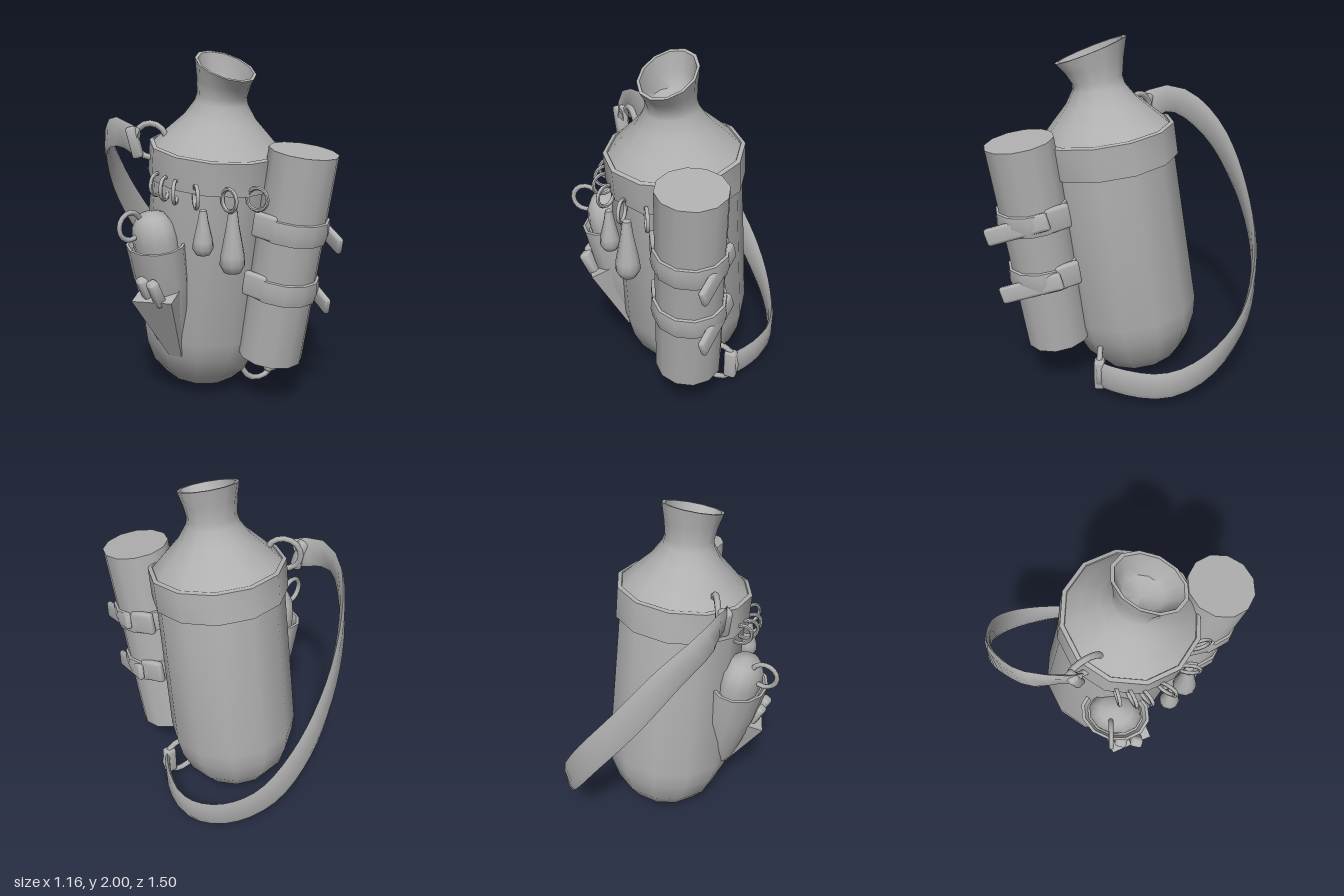
import * as THREE from 'three';
import { toCreasedNormals } from 'three/addons/utils/BufferGeometryUtils.js';
import { RoundedBoxGeometry } from 'three/addons/geometries/RoundedBoxGeometry.js';

const V = (x, y, z) => new THREE.Vector3(x, y, z);
const UP = V(0, 1, 0);

export function createModel() {
  const model = new THREE.Group();
  model.name = 'canteenPack';
  const grey = new THREE.MeshStandardMaterial({ color: 0xb0b0b0 });
  grey.name = 'plain grey';

  const add = (name, geo, parent = model, crease = 0.9) => {
    geo.deleteAttribute('uv');
    const mesh = new THREE.Mesh(toCreasedNormals(geo, crease), grey);
    mesh.name = name;
    parent.add(mesh);
    return mesh;
  };
  const group = name => {
    const g = new THREE.Group();
    g.name = name;
    model.add(g);
    return g;
  };
  const lathe = (pts, sides = 12) =>
    new THREE.LatheGeometry(pts.map(p => new THREE.Vector2(p[0], p[1])), sides);
  const softBox = (w, h, d) => new RoundedBoxGeometry(w, h, d, 2, 0.018);
  // Stand an object between two points, its y axis running from a to b
  const along = (obj, a, b) => {
    obj.position.copy(a).lerp(b, 0.5);
    obj.quaternion.setFromUnitVectors(UP, b.clone().sub(a).normalize());
    return obj;
  };
  const ring = (name, radius, tube, pos, turn) => {
    const r = add(name, new THREE.TorusGeometry(radius, tube, 6, 16), model, 1.3);
    r.position.copy(pos);
    r.rotation.y = turn;
  };

  // Main bottle, leaning forward, its facets turned slightly
  const bottle = group('bottle');
  bottle.position.set(0.058, 0.04, -0.077);
  bottle.rotation.x = 0.1396;
  const turned = pts => lathe(pts).rotateY(-0.08);
  add('bottleBody', turned([[0, 0], [0.14, 0.005], [0.23, 0.045], [0.31, 0.14], [0.362, 0.27],
    [0.382, 0.38], [0.368, 1.3]]), bottle);
  add('rimBand', turned([[0.355, 1.275], [0.388, 1.275], [0.388, 1.455], [0.365, 1.462], [0.355, 1.44]]), bottle);

  // Shoulder and neck, flaring into an oval slanted mouth with a shallow bowl
  const neck = turned([[0.366, 1.45], [0.29, 1.53], [0.2, 1.62], [0.148, 1.7], [0.137, 1.74],
    [0.143, 1.82], [0.155, 1.905], [0.14, 1.905], [0.125, 1.83], [0.1, 1.76], [0, 1.73]]);
  const p = neck.attributes.position;
  for (let i = 0; i < p.count; i++) {
    const f = Math.max(0, (p.getY(i) - 1.72) / 0.185);
    const z = p.getZ(i) * (1 + 0.33 * f) + 0.015 * f;
    p.setZ(i, z);
    p.setY(i, p.getY(i) - 0.24 * z * f);
  }
  add('shoulderAndNeck', neck, bottle);

  // Canister lashed to the front
  const low = V(0.26, 0.29, 0.39), high = V(0.335, 1.485, 0.56);
  const canister = along(group('canister'), low, high);
  add('canisterTube', new THREE.CylinderGeometry(0.19, 0.187, low.distanceTo(high), 12), canister);

  // Two lashing straps, each with side loops and a loose tail
  for (const [y, tail] of [[1.07, V(0.465, 0.98, 0.735)], [0.73, V(0.445, 0.625, 0.675)]]) {
    const c = low.clone().lerp(high, (y - low.y) / (high.y - low.y));
    const band = add('lashingBand', lathe([[0.18, -0.065], [0.203, -0.06], [0.213, 0], [0.203, 0.06],
      [0.18, 0.065]]), canister);
    band.position.y = (y - 0.8875) * 1.013;
    const out = V(c.x - 0.06, 0, c.z + 0.08 - (y - 0.04) * 0.14).normalize();
    for (const s of [-1, 1]) {
      const loop = add('lashingLoop', softBox(0.045, 0.14, 0.14));
      loop.position.copy(c).addScaledVector(V(out.z, 0, -out.x), s * 0.18).addScaledVector(out, -0.07);
      loop.position.y += 0.02;
      loop.quaternion.copy(canister.quaternion);
      loop.rotateY(Math.atan2(out.x, out.z));
    }
    along(add('strapTail', softBox(0.036, 0.37, 0.1)), V(tail.x + 0.035, tail.y + 0.12, tail.z - 0.34), tail);
  }

  // Carrying strap: softly padded ribbon swept round the back
  const path = new THREE.CatmullRomCurve3([
    V(-0.35, 1.5, -0.06), V(-0.41, 1.55, -0.2), V(-0.42, 1.52, -0.32), V(-0.33, 1.37, -0.5),
    V(-0.17, 1.1, -0.65), V(0.06, 0.77, -0.735), V(0.27, 0.47, -0.69), V(0.43, 0.28, -0.54),
    V(0.53, 0.18, -0.36), V(0.56, 0.145, -0.2), V(0.52, 0.14, 0), V(0.45, 0.14, 0.14)]);
  const section = [[-1, 0], [-0.6, -1], [0.6, -1], [1, 0], [0.6, 1], [-0.6, 1]];
  const N = 32, S = section.length, pos = [], idx = [];
  for (let i = 0; i <= N; i++) {
    const c = path.getPointAt(i / N), t = path.getTangentAt(i / N);
    const out = V(c.x - 0.07, 0, c.z + 0.12);
    const n = out.addScaledVector(t, -out.dot(t)).normalize();
    const w = n.clone().cross(t).normalize();
    for (const [a, b] of section)
      pos.push(...c.clone().addScaledVector(w, a * 0.083).addScaledVector(n, b * 0.014).toArray());
    if (i < N) for (let k = 0; k < S; k++) {
      const a = i * S + k, b = i * S + (k + 1) % S;
      idx.push(a, b, b + S, a, b + S, a + S);
    }
  }
  for (let k = 1; k < S - 1; k++) idx.push(0, k + 1, k, N * S, N * S + k, N * S + k + 1);
  const ribbon = new THREE.BufferGeometry();
  ribbon.setAttribute('position', new THREE.Float32BufferAttribute(pos, 3));
  ribbon.setIndex(idx);
  add('carryingStrap', ribbon);

  // Strap rings and the folded strap ends around them
  ring('lowerStrapRing', 0.12, 0.018, V(0.35, 0.14, 0.14), 0);
  add('lowerStrapFold', softBox(0.075, 0.185, 0.06)).position.set(0.435, 0.14, 0.14);
  ring('upperStrapRing', 0.095, 0.018, V(-0.28, 1.51, -0.04), -0.8);
  const fold = add('upperStrapFold', softBox(0.06, 0.18, 0.07));
  fold.position.set(-0.36, 1.5, -0.08);
  fold.rotation.set(0, -0.6, 0.25);

  // Oval flask in a tapered holder on the right side
  const flask = along(group('sideFlask'), V(-0.23, 0.38, 0.1), V(-0.34, 0.97, 0.135));
  flask.scale.z = 1.25;
  add('flaskHolder', lathe([[0, -0.3], [0.09, -0.28], [0.125, -0.1], [0.15, 0.1], [0.16, 0.3],
    [0.145, 0.3], [0.13, 0.27], [0, 0.27]]), flask);
  add('flaskTop', lathe([[0.12, 0.25], [0.122, 0.33], [0.11, 0.4], [0.075, 0.46], [0, 0.485]]), flask);
  ring('flaskRing', 0.075, 0.015, V(-0.495, 1.08, 0.145), 0.25);

  // Tapered sheath with two grips
  const sheath = along(group('sheathGroup'), V(-0.222, 0.31, 0.15), V(-0.363, 0.69, 0.21));
  add('sheath', new THREE.CylinderGeometry(0.175, 0.055, 0.44, 4).rotateY(Math.PI / 4)
    .scale(1, 1, 0.7).rotateY(-0.93), sheath, 0.5);
  for (const k of [0, 1])
    along(add('sheathGrip', softBox(0.06, 0.16, 0.07)),
      V(-0.38 - k * 0.02, 0.66, 0.27 - k * 0.09), V(-0.44 - k * 0.02, 0.79, 0.29 - k * 0.09));

  // Small rings hanging from the rim band
  for (const a of [0.03, -0.38, -0.83, -1.15, -1.35, -1.55]) {
    const z = 0.13 + 0.39 * Math.cos(a);
    ring('rimRing', 0.06, 0.011, V(0.06 + 0.39 * Math.sin(a), 1.3 - 0.14 * (z - 0.1), z), a - Math.PI / 2 + 0.5);
  }
  // Teardrop weights
  for (const [x, z, top, h, r] of [[-0.2, 0.42, 1.2, 0.26, 0.057], [-0.06, 0.49, 1.2, 0.36, 0.07]])
    add('teardrop', lathe([[0, 0], [r * 0.65, 0.012], [r, r * 0.8], [r * 0.95, r * 1.5], [r * 0.5, h * 0.75],
      [r * 0.35, h - 0.01], [0, h]], 10)).position.set(x, top - h, z);

  return model;
}
